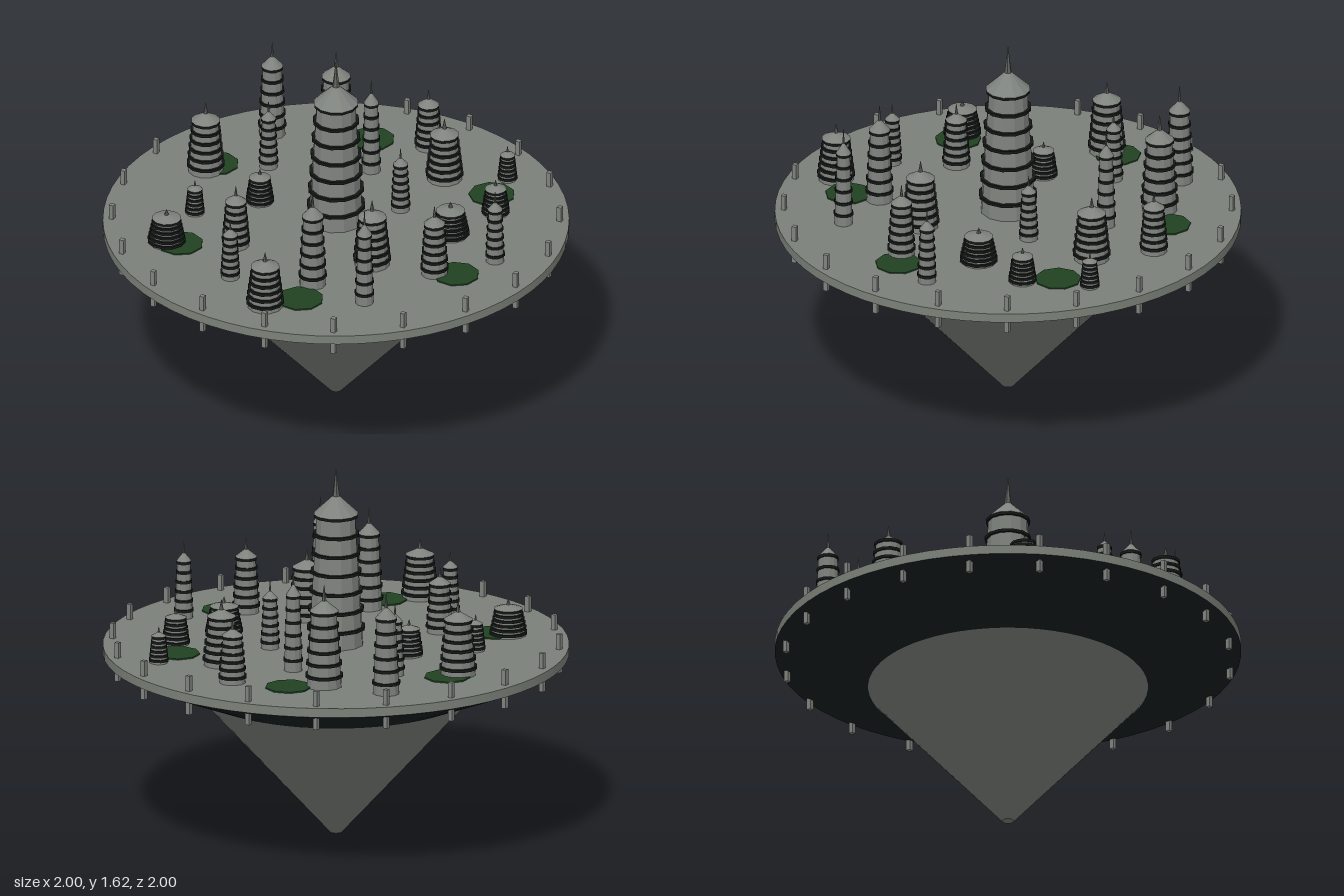
import * as THREE from 'three';

const stone = new THREE.MeshStandardMaterial({ color: 0x7b8179 });
stone.name = 'stone';
const tower = new THREE.MeshStandardMaterial({ color: 0x7f837e });
tower.name = 'towerGrey';
const dark = new THREE.MeshStandardMaterial({ color: 0x1a2022 });
dark.name = 'darkSlate';
const band = new THREE.MeshStandardMaterial({ color: 0x141716 });
band.name = 'bandBlack';
const spireGrey = new THREE.MeshStandardMaterial({ color: 0x60645f });
spireGrey.name = 'spireGrey';
const green = new THREE.MeshStandardMaterial({ color: 0x214222 });
green.name = 'parkGreen';

const DECK = 0.84;

function add(parent, name, geometry, material, x = 0, y = 0, z = 0) {
  const mesh = new THREE.Mesh(geometry, material);
  mesh.name = name;
  mesh.position.set(x, y, z);
  parent.add(mesh);
  return mesh;
}

// Faceted frustum standing on its base
function facet(rTop, rBottom, h, sides, open = false) {
  const g = new THREE.CylinderGeometry(rTop, rBottom, h, sides, 1, open).toNonIndexed();
  g.translate(0, h / 2, 0);
  g.computeVertexNormals();
  return g;
}

// Tiered tower: stepped storeys with dark eaves, a conical roof and a spire
function makeTower(name, x, z, eaveRadius, top, storeys) {
  const t = new THREE.Group();
  t.name = name;
  t.position.set(x, DECK, z);
  const H = top - DECK;
  const R = eaveRadius / 1.08;
  const step = (H * 0.745) / storeys;
  const eave = Math.min(0.013, step * 0.6);
  for (let i = 0; i < storeys; i++) {
    const r = R * (1 - (0.25 * i) / (storeys - 1));
    add(t, 'storey', facet(r * 0.97, r, step, 12, true), tower, 0, i * step, 0);
    add(t, 'eave', facet(r * 1.08, r * 1.08, eave, 12), band, 0, (i + 1) * step - eave, 0);
  }
  const roofY = H * 0.745;
  add(t, 'roof', facet(R * 0.13, R * 0.82, H * 0.1, 12), tower, 0, roofY, 0);
  add(t, 'spire', facet(0.001, R * 0.14, H * 0.165, 6), spireGrey, 0, H * 0.835, 0);
  return t;
}

// x, z, summit height for each width of tower
const towers = [
  [0.083, [[-0.405, -0.575, 1.17], [0.195, -0.62, 1.29], [0.55, -0.2, 1.13], [-0.75, -0.035, 1.0],
    [0.43, 0.27, 1.0], [0.035, 0.405, 1.15], [-0.51, 0.61, 1.1]]],
  [0.062, [[-0.04, -0.785, 1.29], [0.565, -0.475, 1.12], [-0.265, -0.245, 1.0], [-0.475, 0.08, 1.13],
    [0.67, 0.15, 1.0], [-0.26, 0.495, 1.29], [0.265, 0.565, 1.17]]],
  [0.043, [[-0.14, -0.52, 1.16], [0.27, -0.355, 1.29], [-0.56, -0.235, 1.0], [0.805, -0.11, 1.0],
    [0.29, 0, 1.14], [-0.58, 0.335, 1.12], [0.545, 0.54, 1.18], [-0.095, 0.71, 1.29]]],
];

export function createModel() {
  const city = new THREE.Group();
  city.name = 'floatingCity';

  // Deck, sloping underside and lower cone
  add(city, 'deck', new THREE.CylinderGeometry(1, 1, 0.04, 64), stone, 0, DECK - 0.02, 0);
  add(city, 'underside', new THREE.CylinderGeometry(1, 0.6, 0.165, 64, 1, true), dark, 0, 0.7175, 0);
  add(city, 'lowerCone', new THREE.CylinderGeometry(0.6, 0.025, 0.635, 64), stone, 0, 0.3175, 0);

  // Parks
  for (let i = 0; i < 6; i++) {
    const a = (i * Math.PI) / 3;
    add(city, 'park', facet(0.1, 0.1, 0.006, 9), green, 0.7 * Math.cos(a), DECK, 0.7 * Math.sin(a))
      .rotation.y = Math.PI / 2;
  }

  // Rim pylons
  const pylon = facet(0.0145, 0.0145, 0.172, 4);
  for (let i = 0; i < 20; i++) {
    const a = (i * Math.PI) / 10;
    add(city, 'rimPylon', pylon, tower, 0.96 * Math.cos(a), 0.736, 0.96 * Math.sin(a));
  }

  // Towers
  city.add(makeTower('centralTower', 0, 0, 0.128, 1.62, 7));
  for (const [radius, places] of towers) {
    for (const [x, z, top] of places) city.add(makeTower('tower', x, z, radius, top, 6));
  }
  return city;
}
